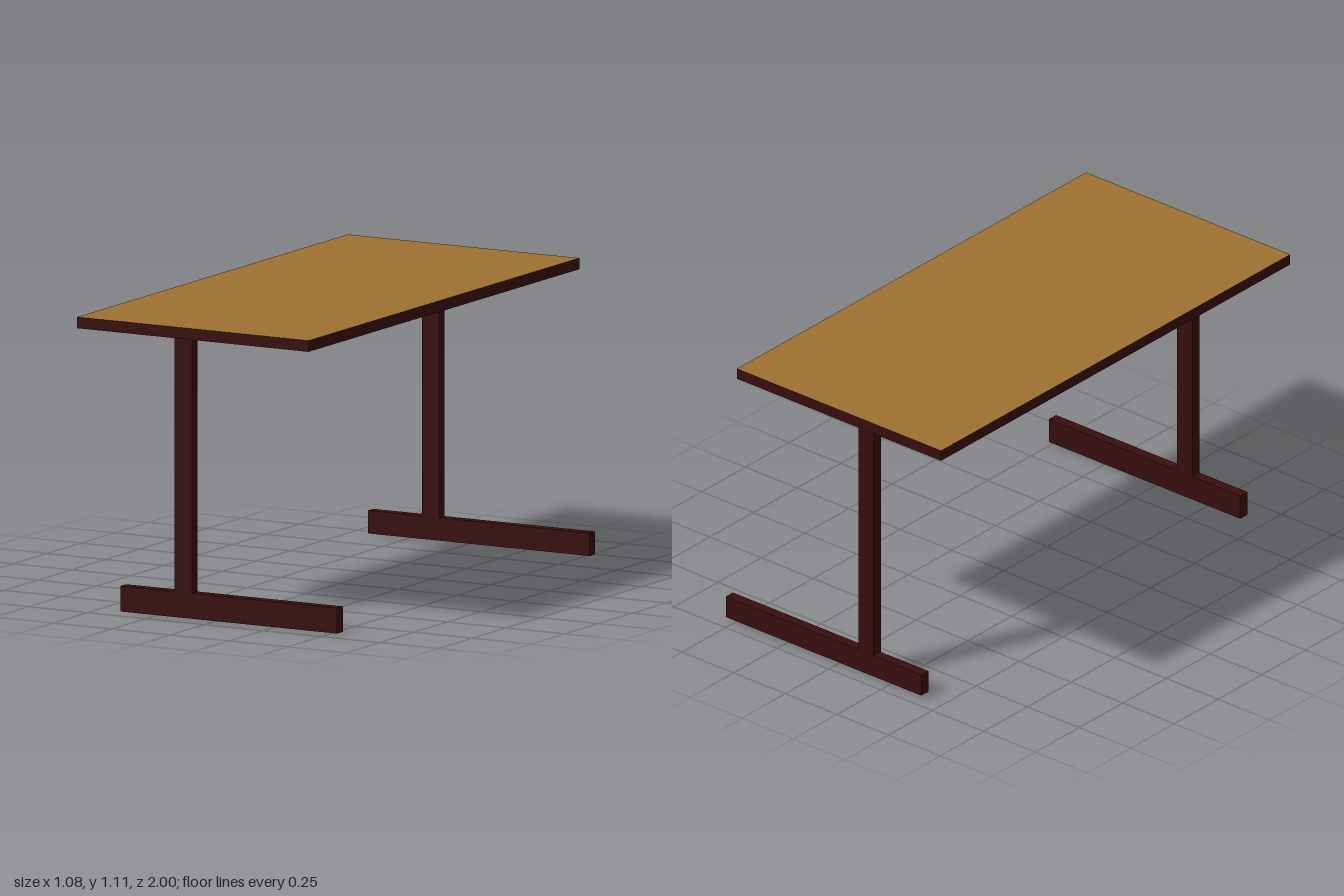
import * as THREE from 'three';

export function createModel() {
  const model = new THREE.Group();
  model.name = 'table';

  const wood = new THREE.MeshStandardMaterial({ color: 0x9d7030, side: THREE.DoubleSide });
  wood.name = 'tan wood';
  const frame = new THREE.MeshStandardMaterial({ color: 0x390e0e, side: THREE.DoubleSide });
  frame.name = 'dark maroon';
  const pad = new THREE.MeshStandardMaterial({ color: 0xb4b4b4 });
  pad.name = 'grey underside';

  // Box given by its limits on each axis
  function box(name, [x0, x1], [y0, y1], [z0, z1], material) {
    const geometry = new THREE.BoxGeometry(x1 - x0, y1 - y0, z1 - z0);
    const mesh = new THREE.Mesh(geometry, material);
    mesh.name = name;
    mesh.position.set((x0 + x1) / 2, (y0 + y1) / 2, (z0 + z1) / 2);
    model.add(mesh);
    return mesh;
  }

  // Tabletop: tan sheet with a thin dark skirt, open underneath
  const top = box('tabletop', [-0.543, 0.446], [1.065, 1.107], [-1, 1], [frame, wood]);
  top.geometry.clearGroups();
  top.geometry.addGroup(0, 12, 0); // left and right skirt
  top.geometry.addGroup(12, 6, 1); // top sheet
  top.geometry.addGroup(24, 12, 0); // front and back skirt

  // Front and back legs: a post on a long foot with a grey underside
  const legs = [
    { side: 'front', z: [0.875, 0.916], bottom: 0, end: 0.52 },
    { side: 'back', z: [-0.951, -0.91], bottom: 0.01, end: 0.541 },
  ];
  const footMaterials = [frame, frame, frame, pad, frame, frame];
  for (const { side, z, bottom, end } of legs) {
    box(side + 'Post', [-0.175, -0.101], [0.096, 1.105], z, frame);
    box(side + 'Foot', [-0.406, end], [bottom, 0.096], z, footMaterials);
  }

  return model;
}
